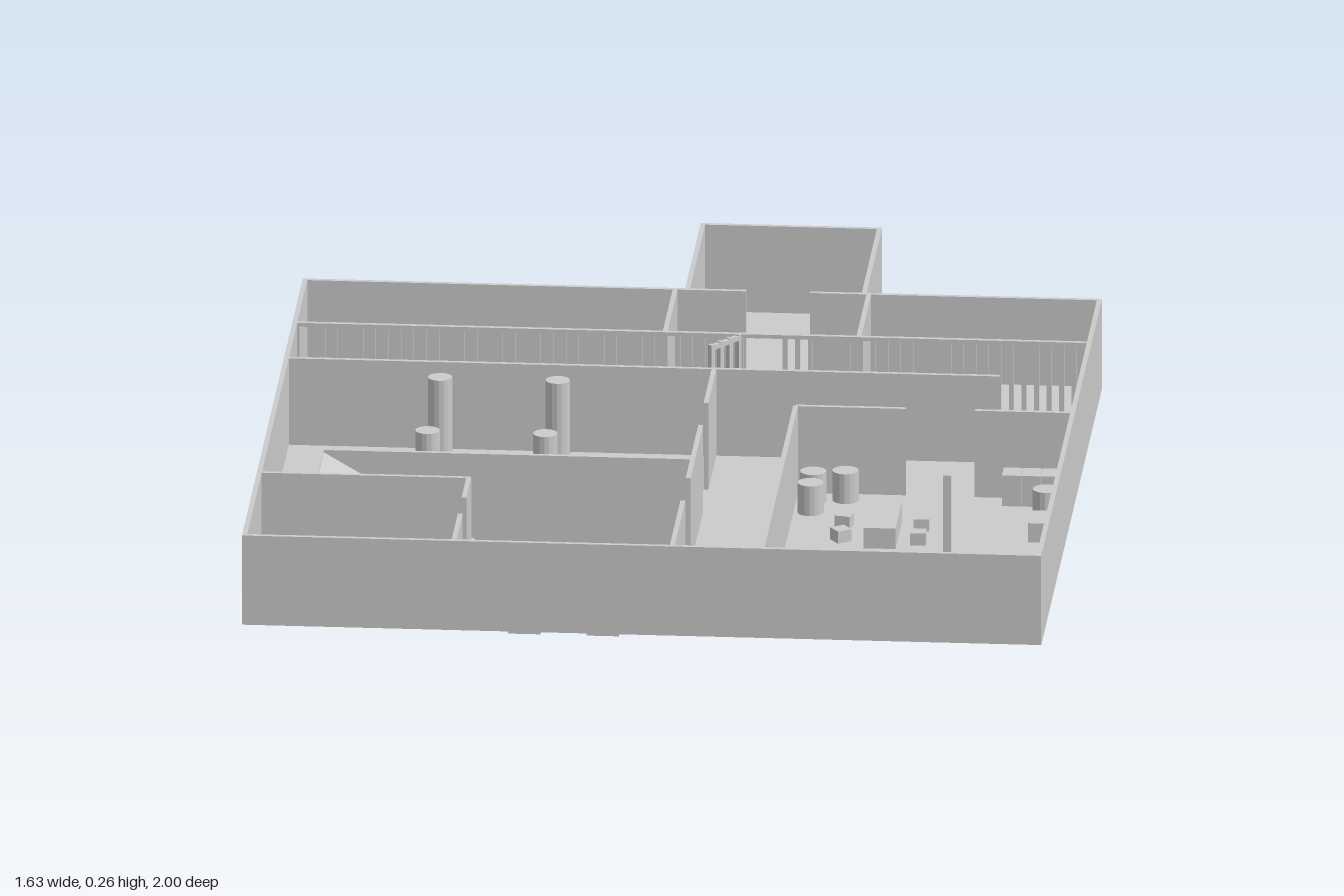
import * as THREE from 'three';

const FLOOR = 0.062, TOP = 0.25, T = 0.01;

export function createModel() {
  const root = new THREE.Group();
  const mat = new THREE.MeshStandardMaterial({ color: 0xcccccc, flatShading: true });

  const add = (name, geo, x, y, z, parent = root) => {
    const m = new THREE.Mesh(geo, mat);
    m.name = name;
    m.position.set(x, y, z);
    parent.add(m);
    return m;
  };
  // Box given by its limits on each axis
  const box = (name, x0, x1, z0, z1, y0 = FLOOR, y1 = TOP, parent = root) =>
    add(name, new THREE.BoxGeometry(x1 - x0, y1 - y0, z1 - z0), (x0 + x1) / 2, (y0 + y1) / 2, (z0 + z1) / 2, parent);
  const wallX = (z, x0, x1, name = 'innerWall') => box(name, x0, x1, z - T / 2, z + T / 2);
  const wallZ = (x, z0, z1, name = 'innerWall') => box(name, x - T / 2, x + T / 2, z0, z1);
  const cylinder = (name, x, z, r, y0, y1, sides = 16) =>
    add(name, new THREE.CylinderGeometry(r, r, y1 - y0, sides), x, (y0 + y1) / 2, z);

  // Floors
  box('mainFloor', -0.815, 0.815, -0.595, 1, 0.058, FLOOR + 0.002);
  box('entranceFloor', -0.035, 0.335, -1, -0.595, 0.058, FLOOR + 0.002);

  // Outer walls
  wallX(0.995, -0.815, 0.815, 'frontWall');
  for (const s of [-1, 1]) wallZ(s * 0.81, -0.595, 1, 'sideWall');
  wallX(-0.59, -0.815, 0.09, 'backWall');
  wallX(-0.59, 0.22, 0.815, 'backWall');
  wallX(-0.995, -0.035, 0.335, 'entranceBackWall');
  wallZ(-0.03, -1, -0.595, 'entranceSideWall');
  wallZ(0.33, -1, -0.595, 'entranceSideWall');

  // Inner walls, running across
  [[-0.105, -0.815, 0.645], [0.455, -0.7, 0.06], [0.605, -0.815, -0.38],
    [0.11, 0.245, 0.47], [0.11, 0.61, 0.815]].forEach(w => wallX(...w));
  // Inner walls, running front to back
  [[-0.055, -0.595, -0.325], [0.34, -0.595, -0.325], [0.062, -0.105, 0.11],
    [0.062, 0.245, 0.575], [0.062, 0.715, 1], [-0.695, 0.455, 0.605],
    [-0.383, 0.605, 0.73], [-0.383, 0.83, 1], [0.245, 0.11, 1]].forEach(w => wallZ(...w));

  // Barred partition with a gap for its gate
  const bars = (name, x0, x1, z, parent) => {
    const n = Math.round((x1 - x0) / 0.026);
    for (let i = 0; i <= n; i++) {
      const x = x0 + (x1 - x0) * i / n;
      box(name, x - 0.005, x + 0.005, z - 0.005, z + 0.005, FLOOR, TOP, parent);
    }
  };
  const fence = new THREE.Group();
  fence.name = 'barredPartition';
  root.add(fence);
  bars('fenceBar', -0.805, 0.1, -0.325, fence);
  bars('fenceBar', 0.19, 0.805, -0.325, fence);
  box('fenceTopRail', -0.815, 0.815, -0.33, -0.32, TOP - 0.008, TOP, fence);

  const gate = new THREE.Group();
  gate.name = 'openGate';
  gate.position.set(0.095, 0, -0.32);
  gate.rotation.y = -2.2 + Math.PI * 2;
  root.add(gate);
  bars('gateBar', 0, 0.085, 0, gate);
  box('gateRail', 0, 0.085, -0.005, 0.005, TOP - 0.012, TOP - 0.002, gate);
  box('gateRail', 0, 0.085, -0.005, 0.005, FLOOR, FLOOR + 0.01, gate);

  // Ramp rising toward the right side
  const slope = new THREE.Shape([
    new THREE.Vector2(-0.69, FLOOR), new THREE.Vector2(-0.375, FLOOR), new THREE.Vector2(-0.69, TOP - 0.005)]);
  add('ramp', new THREE.ExtrudeGeometry(slope, { depth: 0.14, bevelEnabled: false }), 0, 0, 0.46);

  // Hall: columns and sunken blocks
  for (const z of [0.008, 0.338]) {
    for (const x of [-0.488, -0.248]) cylinder('column', x, z, 0.025, 0.052, 0.256);
    for (const x of [-0.6, -0.373, -0.125])
      box('sunkenBlock', x - 0.045, x + 0.045, z - 0.038, z + 0.038, 0.002, 0.085);
  }

  // Beds with a raised headboard
  for (const x of [-0.24, -0.08]) {
    box('bed', x - 0.033, x + 0.033, 0.855, 0.975, 0.05, 0.095);
    box('headboard', x - 0.033, x + 0.033, 0.972, 0.99, 0.05, 0.115);
  }

  // Common room: tables and stools
  const stool = (x, z, turn) => {
    const m = box('stool', x - 0.016, x + 0.016, z - 0.016, z + 0.016, 0.05, 0.09);
    m.rotation.y = turn;
  };
  for (const z of [0.365, 0.705]) {
    box('table', 0.41, 0.475, z - 0.083, z + 0.083, 0.05, 0.108);
    stool(0.36, z - 0.052, -0.2);
    stool(0.36, z + 0.037, 0.6);
    stool(0.518, z - 0.045, 0.05);
    stool(0.518, z + 0.042, 0);
  }

  // Barrels, cabinets, chest, post and side door
  for (const [x, z] of [[0.285, 0.162], [0.35, 0.152], [0.285, 0.232], [0.765, 0.235]])
    cylinder('barrel', x, z, 0.027, 0.052, 0.128);
  for (let i = 0; i < 3; i++) box('cabinet', 0.67 + i * 0.04, 0.709 + i * 0.04, 0.116, 0.166, 0.052, 0.13);
  box('chest', 0.74, 0.785, 0.305, 0.385, 0.052, 0.105);
  box('post', 0.58, 0.596, 0.533, 0.549, 0.055, 0.26);
  box('sideDoor', 0.803, 0.812, 0.5, 0.59, 0.056, 0.2);

  // Row of turned crates by the front wall
  [[0.29, -0.3], [0.33, -0.12], [0.37, 0.05]].forEach(([x, turn]) => {
    box('crate', x - 0.02, x + 0.02, 0.922, 0.968, 0.052, 0.105).rotation.y = turn;
  });

  return root;
}
